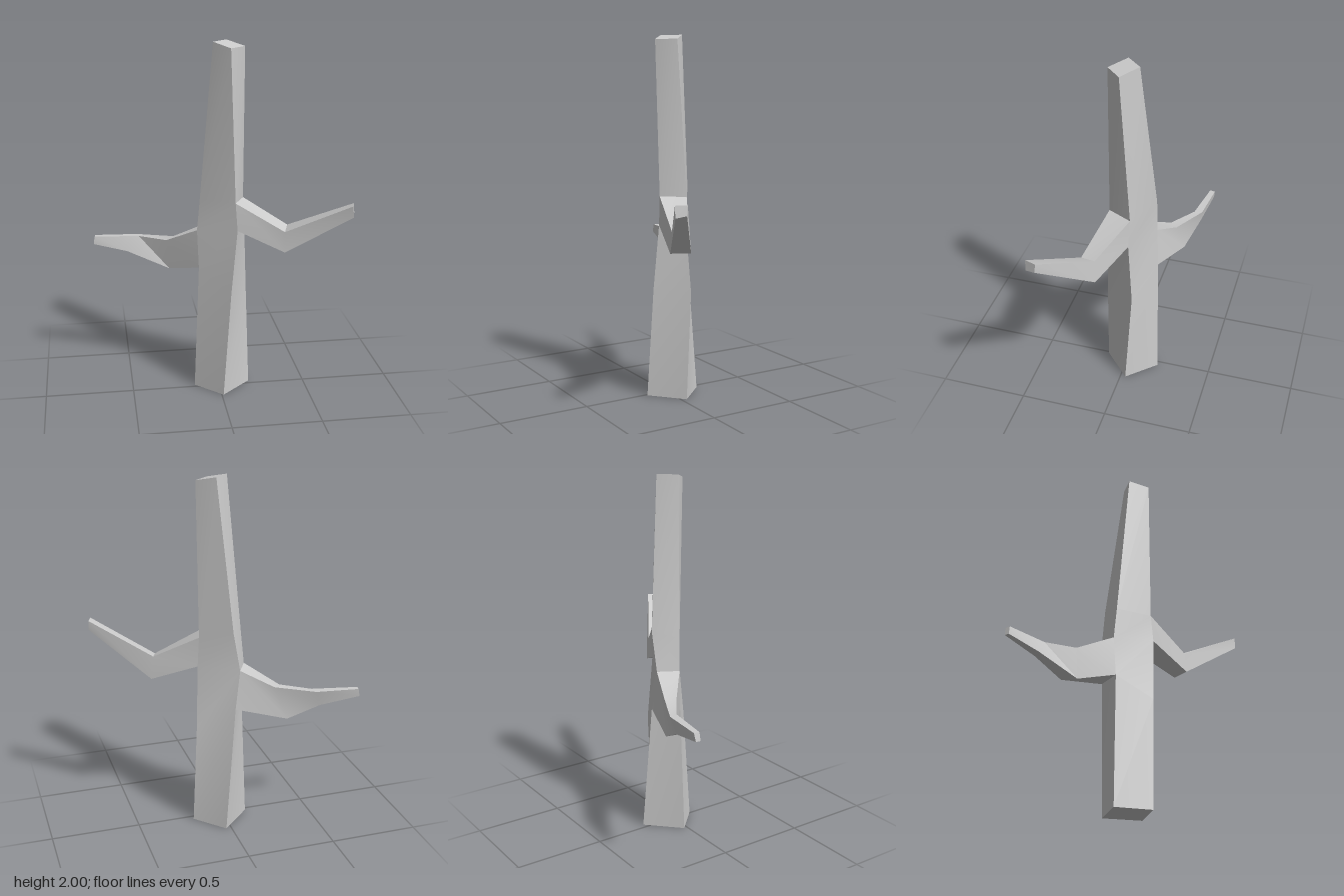
import * as THREE from 'three';
import { toCreasedNormals } from 'three/addons/utils/BufferGeometryUtils.js';

// Skins four-cornered rings, each counter-clockwise seen from the far end.
// "open" lists faces left out, as "ring,side".
function loft(name, rings, { open = [], capStart = false } = {}) {
  const pos = [];
  const quad = (a, b, c, d) => pos.push(...a, ...b, ...c, ...a, ...c, ...d);
  for (let r = 0; r < rings.length - 1; r++) {
    for (let s = 0; s < 4; s++) {
      if (open.includes(`${r},${s}`)) continue;
      const t = (s + 1) % 4;
      quad(rings[r][s], rings[r][t], rings[r + 1][t], rings[r + 1][s]);
    }
  }
  quad(...rings[rings.length - 1]);
  if (capStart) quad(...[...rings[0]].reverse());
  let geometry = new THREE.BufferGeometry();
  geometry.setAttribute('position', new THREE.Float32BufferAttribute(pos, 3));
  geometry = toCreasedNormals(geometry, Math.PI / 6);
  const mesh = new THREE.Mesh(geometry, new THREE.MeshStandardMaterial({ color: 0xcccccc }));
  mesh.name = name;
  return mesh;
}

export function createModel() {
  const group = new THREE.Group();
  group.name = 'bareTree';

  // Trunk rings, corners in the order front, right, back, left
  const trunk = [
    [[0.01, 0, 0.125], [0.18, 0, -0.03], [0.03, 0, -0.19], [-0.14, 0, -0.02]],
    [[0.055, 0.62, 0.11], [0.165, 0.6, -0.065], [-0.03, 0.73, -0.165], [-0.11, 0.73, -0.03]],
    [[0.09, 0.98, 0.095], [0.15, 0.96, -0.04], [-0.06, 0.95, -0.15], [-0.118, 0.95, -0.04]],
    [[0.08, 1.135, 0.085], [0.143, 1.13, -0.048], [-0.02, 1.17, -0.155], [-0.103, 1.13, -0.03]],
    [[0.05, 1.975, 0.095], [0.138, 1.975, 0.01], [0.05, 2, -0.073], [-0.033, 2, 0.01]],
  ];
  // The two open faces are where the branches grow out
  group.add(loft('trunk', trunk, { open: ['2,0', '1,2'], capStart: true }));

  // Left branch: drops to an elbow, then rises to the tip
  group.add(loft('leftBranch', [
    [trunk[2][0], trunk[2][1], trunk[3][1], trunk[3][0]],
    [[0.34, 0.87, 0.175], [0.385, 0.87, 0.075], [0.37, 1.0, 0.08], [0.34, 0.985, 0.165]],
    [[0.67, 1.11, 0.345], [0.687, 1.12, 0.29], [0.685, 1.172, 0.285], [0.665, 1.172, 0.345]],
  ]));

  // Right branch: thick root, thinning out towards the back
  group.add(loft('rightBranch', [
    [trunk[1][2], trunk[1][3], trunk[2][3], trunk[2][2]],
    [[-0.3, 0.677, -0.255], [-0.265, 0.68, -0.175], [-0.28, 0.853, -0.175], [-0.235, 0.86, -0.22]],
    [[-0.47, 0.76, -0.31], [-0.5, 0.765, -0.265], [-0.43, 0.85, -0.28], [-0.44, 0.848, -0.325]],
    [[-0.69, 0.8, -0.345], [-0.692, 0.8, -0.318], [-0.685, 0.845, -0.32], [-0.68, 0.845, -0.35]],
  ]));

  return group;
}
